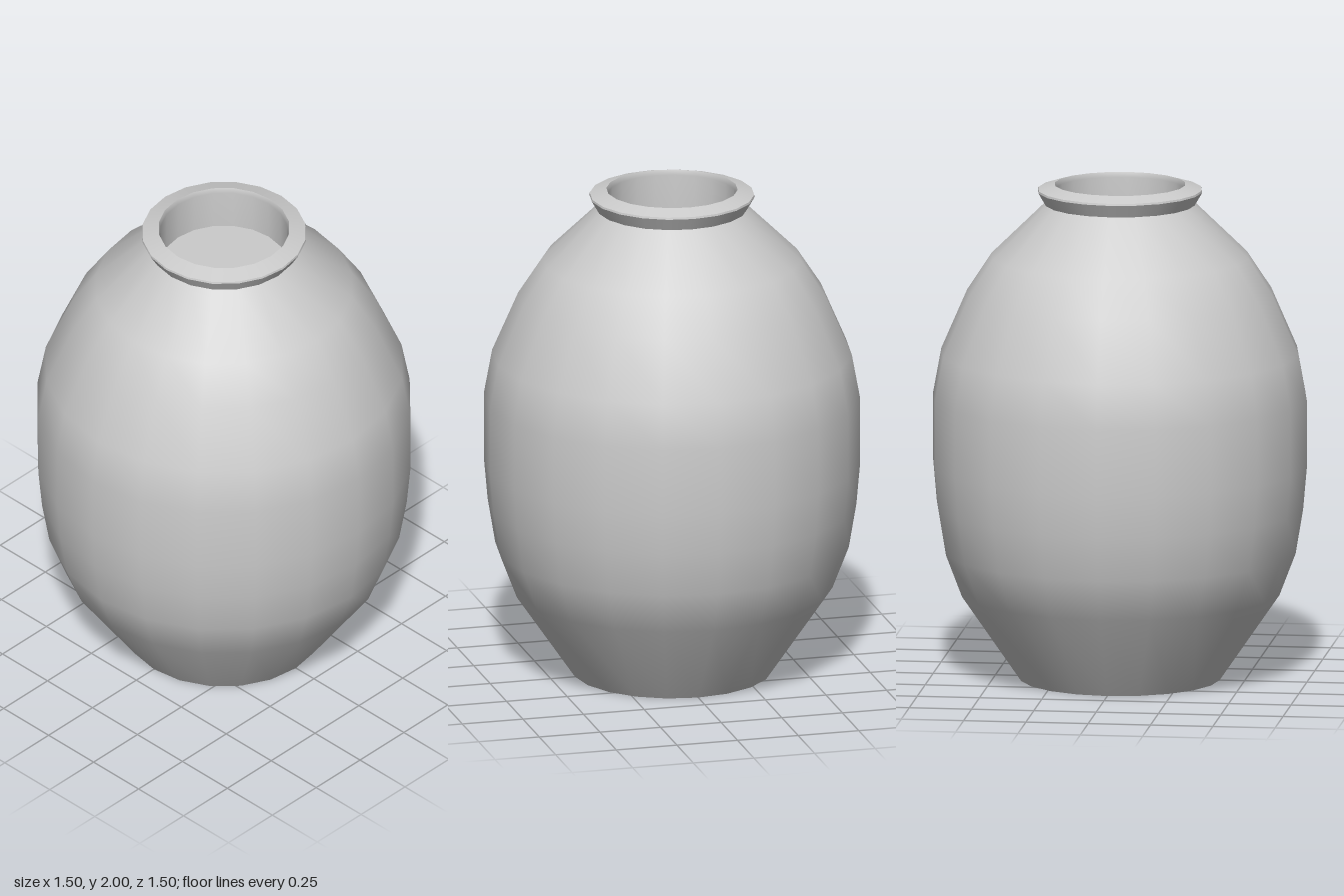
import * as THREE from 'three';

const SIDES = 20;

export function createModel() {
  const jar = new THREE.Group();
  jar.name = 'jar';
  const material = new THREE.MeshStandardMaterial({ color: 0xcccccc });

  // Each section is its own lathe, so shading is smooth within it and creased between sections.
  const addSection = (name, profile) => {
    const points = profile.map(([r, y]) => new THREE.Vector2(r, y));
    const mesh = new THREE.Mesh(new THREE.LatheGeometry(points, SIDES), material);
    mesh.name = name;
    jar.add(mesh);
  };

  // Underside: recessed base inside a flat foot ring
  addSection('baseRecess', [[0, 0.03], [0.295, 0.03]]);
  addSection('baseRecessWall', [[0.295, 0.03], [0.335, 0]]);
  addSection('footRing', [[0.335, 0], [0.4, 0]]);

  // Rounded body from foot to neck
  addSection('body', [
    [0.4, 0], [0.64, 0.35], [0.705, 0.52], [0.735, 0.7], [0.75, 0.87],
    [0.75, 1.14], [0.717, 1.32], [0.613, 1.56], [0.515, 1.71], [0.3, 1.92],
  ]);

  // Flared rim with a narrow lip and a sloping top
  addSection('rimFlare', [[0.3, 1.92], [0.33, 1.972]]);
  addSection('rimLip', [[0.33, 1.972], [0.328, 1.98]]);
  addSection('rimTop', [[0.328, 1.98], [0.262, 2]]);

  // Mouth: straight inner wall down to a shallow floor
  addSection('mouthWall', [[0.262, 2], [0.255, 1.98], [0.255, 1.815]]);
  addSection('mouthFloor', [[0.255, 1.815], [0, 1.815]]);

  return jar;
}
